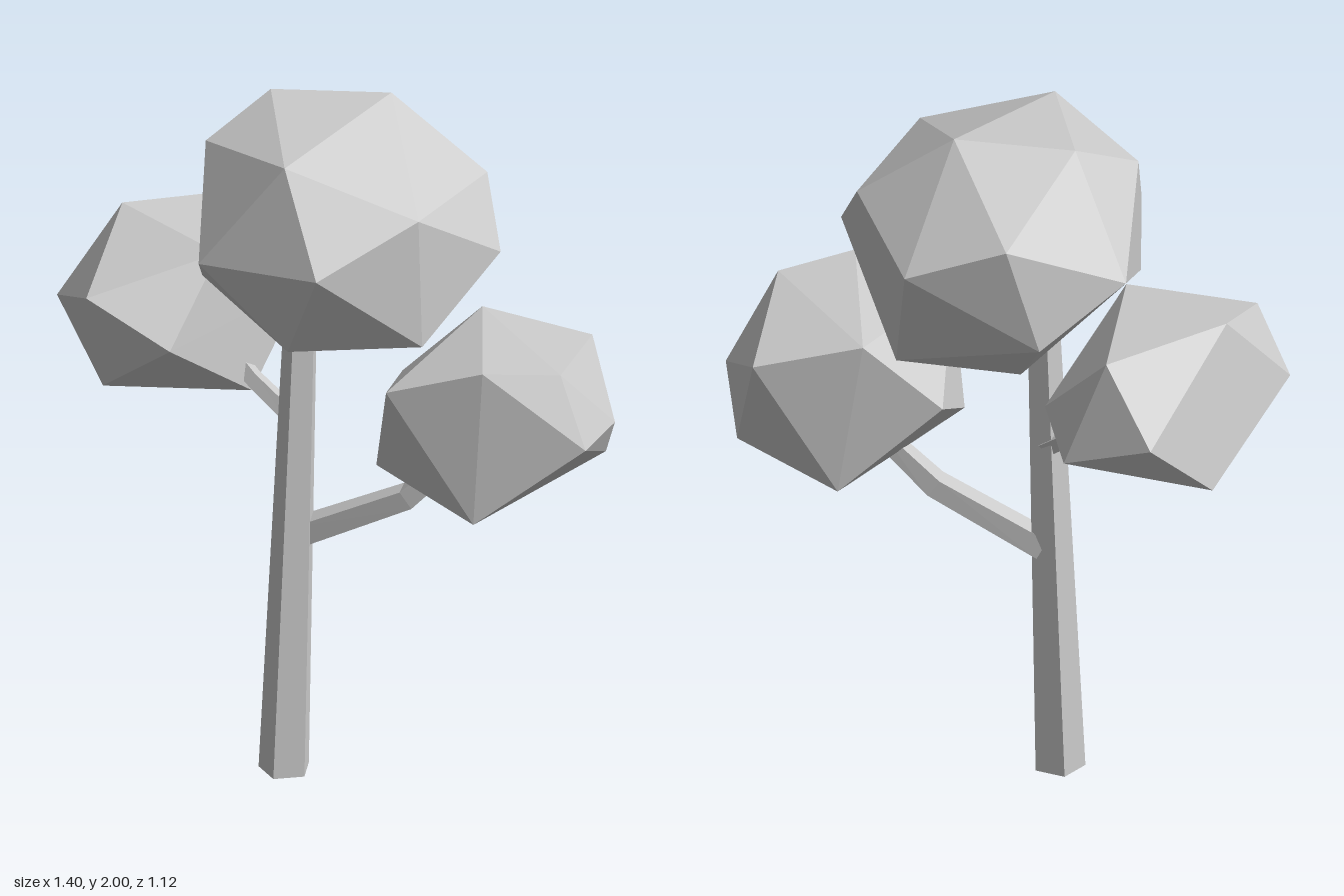
import * as THREE from 'three';
import { ConvexGeometry } from 'three/addons/geometries/ConvexGeometry.js';

const material = new THREE.MeshStandardMaterial({ color: 0xcccccc, flatShading: true });
const vec = (p) => new THREE.Vector3(...p);

// Faceted leaf clump: convex hull of its corner points
function clump(name, corners) {
  const mesh = new THREE.Mesh(new ConvexGeometry(corners.map(vec)), material);
  mesh.name = name;
  return mesh;
}

// Tapered limb: rings of `sides` corners along a path, capped at both ends
function limb(name, path, radii, sides, turn = 0, level = false) {
  const pts = path.map(vec), pos = [], index = [];
  const up = new THREE.Vector3(0, 1, 0);
  pts.forEach((p, i) => {
    const dir = pts[Math.min(i + 1, pts.length - 1)].clone()
      .sub(pts[Math.max(i - 1, 0)]).normalize();
    const q = new THREE.Quaternion();
    if (!level) q.setFromUnitVectors(up, dir);
    for (let s = 0; s < sides; s++) {
      const a = turn + (s / sides) * Math.PI * 2;
      const v = new THREE.Vector3(Math.sin(a), 0, Math.cos(a)).multiplyScalar(radii[i]);
      pos.push(...v.applyQuaternion(q).add(p).toArray());
    }
  });
  const last = (pts.length - 1) * sides;
  for (let i = 0; i < last; i += sides) {
    for (let s = 0; s < sides; s++) {
      const a = i + s, b = i + (s + 1) % sides;
      index.push(a, b, b + sides, a, b + sides, a + sides);
    }
  }
  for (let s = 1; s < sides - 1; s++) {
    index.push(0, s + 1, s, last, last + s, last + s + 1);
  }
  const geo = new THREE.BufferGeometry();
  geo.setAttribute('position', new THREE.Float32BufferAttribute(pos, 3));
  geo.setIndex(index);
  const flat = geo.toNonIndexed();
  flat.computeVertexNormals();
  const mesh = new THREE.Mesh(flat, material);
  mesh.name = name;
  return mesh;
}

export function createModel() {
  const tree = new THREE.Group();
  tree.name = 'tree';

  // Five-sided leaning trunk and two side branches
  tree.add(
    limb('trunk', [[-0.135, 0, 0.033], [-0.083, 1.42, 0.0]], [0.072, 0.046], 5, Math.PI / 5, true),
    limb('leftBranch', [[-0.09, 0.70, 0.01], [0.18, 0.85, 0.14], [0.34, 1.02, 0.2]],
      [0.045, 0.04, 0.03], 4, 0.4),
    limb('rightBranch', [[-0.09, 1.02, -0.01], [-0.2, 1.12, -0.1], [-0.28, 1.22, -0.17]],
      [0.03, 0.027, 0.025], 4, 0.4)
  );

  // Large crown on the trunk
  tree.add(clump('crown', [
    [0.16, 2.0, 0], [-0.15, 1.985, -0.105], [-0.18, 1.945, 0.28], [-0.34, 1.885, -0.03],
    [0.4, 1.8, 0.12], [0.16, 1.825, 0.42], [-0.13, 1.7, 0.485], [-0.4, 1.635, 0.2],
    [0.41, 1.635, 0.27], [0.17, 1.445, 0.42], [0.345, 1.715, -0.22], [0.09, 1.825, -0.33],
    [-0.25, 1.66, -0.28], [0, 1.51, -0.335], [0.34, 1.39, -0.095], [-0.36, 1.51, 0.03],
    [-0.175, 1.4, 0.3], [0.01, 1.335, -0.15], [0.16, 1.33, 0.08]
  ]));

  // Clump on the right branch, toward the back
  tree.add(clump('rightClump', [
    [-0.51, 1.545, -0.355], [-0.16, 1.51, -0.44], [-0.255, 1.295, -0.56], [-0.44, 1.115, -0.495],
    [-0.05, 1.2, -0.41], [-0.7, 1.32, -0.285], [-0.66, 1.42, -0.06], [-0.46, 1.32, 0.095],
    [-0.6, 1.11, -0.14], [-0.2, 1.075, -0.11], [-0.3, 1.525, -0.06], [-0.03, 1.3, -0.27]
  ]));

  // Clump on the left branch, toward the front
  tree.add(clump('leftClump', [
    [0.32, 1.39, 0.5], [0.535, 1.36, 0.485], [0.59, 1.165, 0.56], [0.7, 1.155, 0.39],
    [0.685, 1.285, 0.125], [0.7, 0.995, 0.25], [0.4, 1.355, 0.045], [0.19, 1.16, 0.005],
    [0.075, 1.305, 0.4], [0.075, 1.01, 0.25], [0.295, 0.937, 0.5], [0.465, 0.905, 0.065]
  ]));

  return tree;
}
